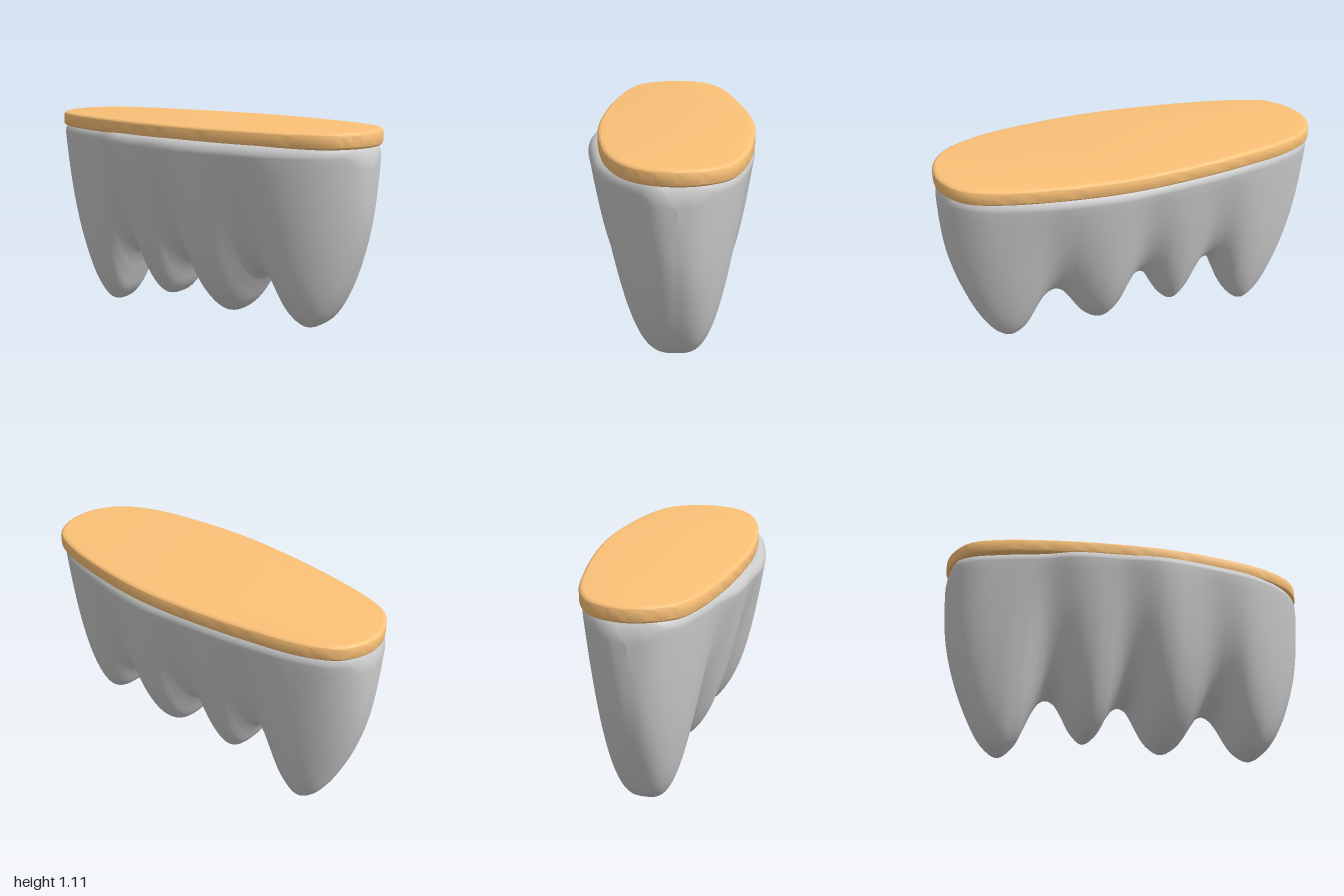
import * as THREE from 'three';
import { toCreasedNormals } from 'three/addons/utils/BufferGeometryUtils.js';

const ZC = -0.025; // depth of the ridge line through the tips

const spline = (pts) => new THREE.CatmullRomCurve3(pts.map(([x, y]) => new THREE.Vector3(x, y, 0)));

// Turns a smooth curve through [x, value] points into a function of x
function lookup(pts) {
  const s = spline(pts).getPoints(400);
  return (x) => {
    let i = 1;
    while (i < s.length - 1 && s[i].x < x) i++;
    const a = s[i - 1], b = s[i];
    const k = THREE.MathUtils.clamp((x - a.x) / (b.x - a.x || 1), 0, 1);
    return a.y + (b.y - a.y) * k;
  };
}

// Lower edge of the body: four hanging lobes and the valleys between them
const lowerEdge = [
  [-0.997, 0.91], [-0.991, 0.78], [-0.973, 0.62], [-0.93, 0.44], [-0.85, 0.23], [-0.75, 0.055], [-0.665, 0],
  [-0.59, 0.06], [-0.54, 0.165], [-0.5, 0.26], [-0.46, 0.322], [-0.42, 0.34], [-0.38, 0.322],
  [-0.34, 0.265], [-0.28, 0.16], [-0.22, 0.115], [-0.16, 0.16], [-0.1, 0.27], [-0.06, 0.323],
  [-0.02, 0.338], [0.02, 0.32], [0.06, 0.26], [0.13, 0.135], [0.2, 0.09], [0.28, 0.135],
  [0.36, 0.255], [0.4, 0.31], [0.45, 0.333], [0.5, 0.31], [0.54, 0.26], [0.62, 0.135], [0.7, 0.095],
  [0.77, 0.135], [0.85, 0.255], [0.93, 0.46], [0.973, 0.63], [0.991, 0.79], [0.997, 0.91],
];

// Depth of the body in front of and behind the ridge line
const frontDepth = lookup([
  [-0.997, 0], [-0.985, 0.085], [-0.95, 0.155], [-0.87, 0.218], [-0.7, 0.28], [-0.5, 0.337], [-0.35, 0.393],
  [-0.1, 0.425], [0.12, 0.45], [0.4, 0.425], [0.62, 0.385], [0.8, 0.305], [0.9, 0.225],
  [0.96, 0.145], [0.987, 0.08], [0.997, 0],
]);
const backDepth = lookup([
  [-0.997, 0], [-0.985, 0.085], [-0.95, 0.155], [-0.87, 0.225], [-0.7, 0.29], [-0.4, 0.35], [0, 0.393],
  [0.15, 0.402], [0.4, 0.378], [0.7, 0.31], [0.85, 0.245], [0.95, 0.155], [0.985, 0.085], [0.997, 0],
]);

// How pointed each section is: blunt on the lobes, sharper in the valleys
const sharpness = lookup([
  [-1, 0.34], [-0.66, 0.34], [-0.42, 0.42], [-0.22, 0.37], [-0.02, 0.41], [0.2, 0.29],
  [0.45, 0.4], [0.7, 0.325], [1, 0.325],
]);

// Lofts U-shaped vertical sections along x
function bodyGeometry() {
  const UP = 26, ROUND = 6;
  const stations = spline(lowerEdge).getPoints(222);
  const pos = [], index = [];
  let ring = 0;
  for (const { x, y: low } of stations) {
    const u = THREE.MathUtils.clamp((0.997 - Math.abs(x)) / 0.06, 0, 1);
    const top = Math.max(low, 0.91 + 0.13 * Math.sqrt(1 - (1 - u) ** 2));
    const keel = 0.13 * Math.exp(-(((x - 0.2) / 0.13) ** 2)); // narrow tip of the lobe at x = 0.2
    const power = sharpness(x);
    // One side from the tip to the rounded upper rim
    const side = (depth, sign) => {
      const r = Math.min(0.055, (top - low) / 2, depth / 2);
      const pts = [];
      for (let j = 1; j <= UP; j++) {
        const t = (j / UP) ** 2;
        const width = depth * t ** (power + keel * (1 - t) ** 4);
        pts.push([x, low + (top - r - low) * t, ZC + sign * width]);
      }
      for (let j = 1; j <= ROUND; j++) {
        const a = (j / ROUND) * Math.PI / 2;
        pts.push([x, top - r + r * Math.sin(a), ZC + sign * (depth - r * (1 - Math.cos(a)))]);
      }
      return pts;
    };
    const section = [
      [x, low, ZC], ...side(frontDepth(x), 1), [x, top, ZC], ...side(backDepth(x), -1).reverse(),
    ];
    ring = section.length;
    pos.push(...section.flat());
  }
  for (let i = 0; i < stations.length - 1; i++) {
    for (let j = 0; j < ring; j++) {
      const a = i * ring + j, c = i * ring + (j + 1) % ring;
      index.push(a, a + ring, c, a + ring, c + ring, c);
    }
  }
  const g = new THREE.BufferGeometry();
  g.setAttribute('position', new THREE.Float32BufferAttribute(pos, 3));
  g.setIndex(index);
  g.computeVertexNormals();
  return g;
}

// Flat lid: lopsided oval outline [x, z] with softened edges
function lidGeometry() {
  const outline = [
    [1, -0.03], [0.98, -0.14], [0.9, -0.26], [0.73, -0.338], [0.4, -0.405], [0.12, -0.428],
    [-0.15, -0.415], [-0.5, -0.368], [-0.78, -0.305], [-0.93, -0.22], [-0.99, -0.11], [-1, -0.03],
    [-0.98, 0.065], [-0.9, 0.188], [-0.76, 0.253], [-0.5, 0.313], [-0.2, 0.355], [0.12, 0.374],
    [0.45, 0.352], [0.72, 0.298], [0.9, 0.205], [0.98, 0.085],
  ].map(([x, z]) => new THREE.Vector3(x, -z, 0));
  const pts = new THREE.CatmullRomCurve3(outline, true).getPoints(110).slice(0, -1);
  const shape = new THREE.Shape(pts.map((p) => new THREE.Vector2(p.x, p.y)));
  const g = new THREE.ExtrudeGeometry(shape, {
    depth: 0.044, bevelThickness: 0.018, bevelSize: 0.022, bevelOffset: -0.022, bevelSegments: 5,
  });
  g.rotateX(-Math.PI / 2);
  g.translate(0, 1.046, 0);
  return toCreasedNormals(g, 0.6);
}

export function createModel() {
  const model = new THREE.Group();
  const body = new THREE.Mesh(bodyGeometry(), new THREE.MeshStandardMaterial({ color: 0xcccccc }));
  body.name = 'lobedBody';
  const lid = new THREE.Mesh(lidGeometry(), new THREE.MeshStandardMaterial({ color: 0xfcc278 }));
  lid.name = 'lid';
  model.add(body, lid);
  return model;
}
